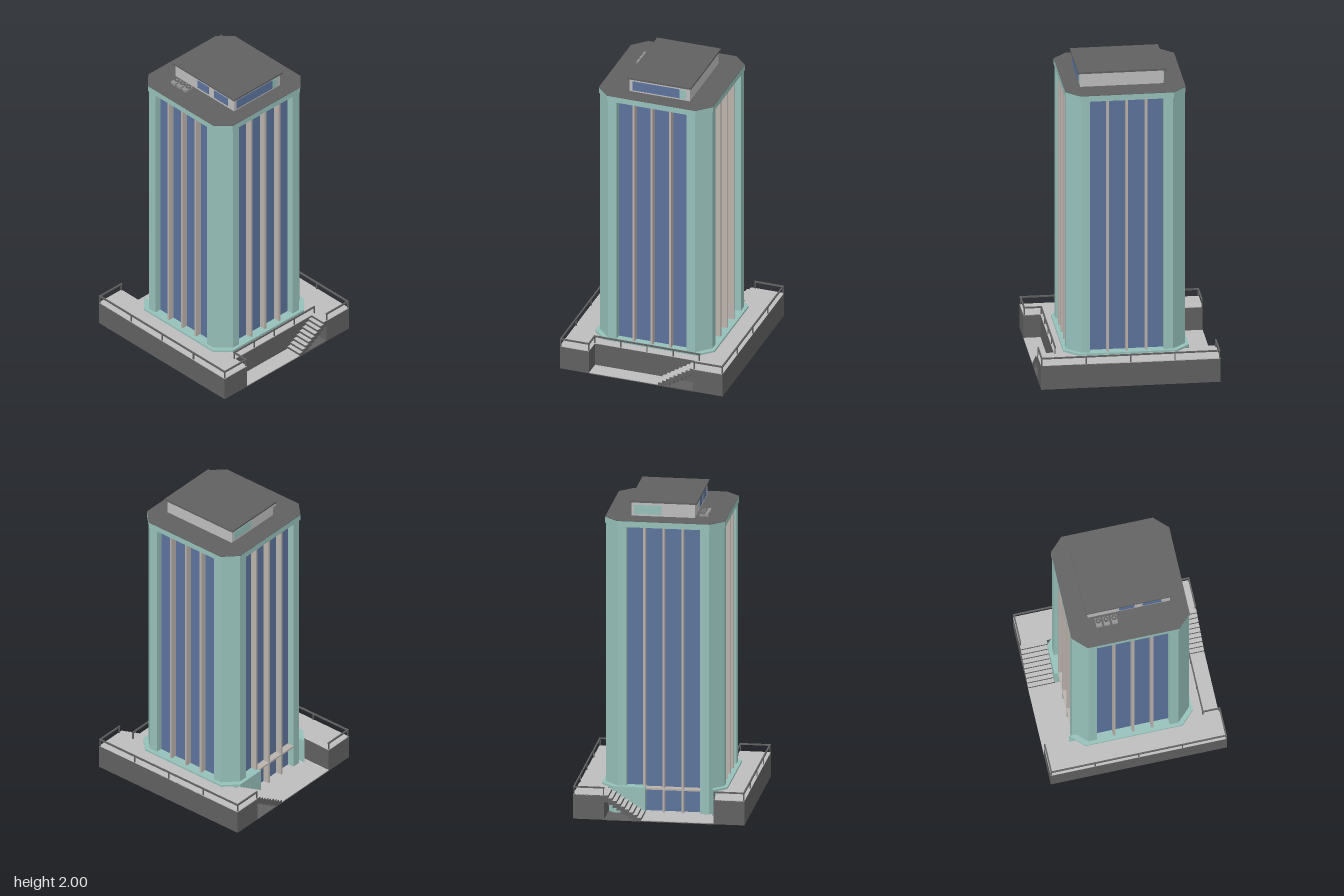
import * as THREE from 'three';

const material = (name, color, side = THREE.FrontSide) => {
  const m = new THREE.MeshStandardMaterial({ color, side });
  m.name = name;
  return m;
};

export function createModel() {
  const root = new THREE.Group();
  root.name = 'officeTower';

  const teal = material('teal cladding', 0x96c0ba);
  const blue = material('blue glass', 0x5c739c, THREE.DoubleSide);
  const dark = material('dark concrete', 0x606060);
  const light = material('light paving', 0xbdbdbd);
  const stone = material('warm grey fins', 0xbab2ac);
  const metal = material('machine grey', 0x929292);

  const group = (name) => {
    const g = new THREE.Group();
    g.name = name;
    root.add(g);
    return g;
  };
  const add = (parent, name, geo, mat) => {
    const m = new THREE.Mesh(geo, mat);
    m.name = name;
    parent.add(m);
    return m;
  };
  // Box given by its bounds
  const box = (parent, name, mat, x0, x1, y0, y1, z0, z1) =>
    add(parent, name, new THREE.BoxGeometry(x1 - x0, y1 - y0, z1 - z0), mat)
      .position.set((x0 + x1) / 2, (y0 + y1) / 2, (z0 + z1) / 2);
  // Vertical prism from a plan outline of [x, z] points
  const prism = (parent, name, mat, pts, y0, y1) => {
    const shape = new THREE.Shape(pts.map(([x, z]) => new THREE.Vector2(x, -z)));
    const geo = new THREE.ExtrudeGeometry(shape, { depth: y1 - y0, bevelEnabled: false });
    geo.rotateX(-Math.PI / 2).translate(0, y0, 0);
    return add(parent, name, geo, mat);
  };

  // Tower: glass core, crossing fins, chamfered corners
  const tower = group('tower');
  const G = 0.325;
  for (let i = 0; i < 4; i++) {
    const wall = add(tower, 'glassWall', new THREE.PlaneGeometry(2 * G, 1.87).translate(0, 0.935, G), blue);
    wall.rotation.y = i * Math.PI / 2;
    const corner = prism(tower, 'corner', teal, [
      [0.23, 0.37], [0.285, 0.37], [0.37, 0.285], [0.37, 0.23],
      [0.315, 0.23], [0.315, 0.315], [0.23, 0.315]], 0.025, 1.865);
    corner.rotation.y = i * Math.PI / 2;
  }
  for (const p of [-0.12, 0, 0.12]) {
    box(tower, 'fin', stone, p - 0.007, p + 0.007, 0, 1.865, -0.367, 0.367);
    box(tower, 'fin', stone, -0.367, 0.367, 0, 1.865, p - 0.007, p + 0.007);
  }
  for (const p of [-0.235, 0.235]) {
    box(tower, 'innerPartition', teal, p - 0.004, p + 0.004, 0.025, 1.865, -0.32, 0.32);
    box(tower, 'innerPartition', teal, -0.32, 0.32, 0.025, 1.865, p - 0.004, p + 0.004);
  }
  const octagon = (r, c) => [[c, r], [r, c], [r, -c], [c, -r], [-c, -r], [-r, -c], [-r, c], [-c, r]];
  prism(tower, 'crown', teal, octagon(0.375, 0.29), 1.86, 1.897);
  prism(tower, 'roof', dark, octagon(0.375, 0.29), 1.897, 1.9);

  // Plinth ring, open at the rear entrance
  prism(tower, 'plinth', teal, [
    [0.11, -0.393], [0.308, -0.393], [0.392, -0.309], [0.392, 0.306], [0.308, 0.39],
    [-0.308, 0.39], [-0.392, 0.306], [-0.392, -0.309], [-0.308, -0.393], [-0.308, -0.328],
    [-0.328, -0.328], [-0.328, 0.328], [0.328, 0.328], [0.328, -0.328], [0.11, -0.328]], 0.025, 0.197);
  box(tower, 'entranceLintel', stone, -0.23, 0.11, 0.178, 0.19, -0.37, -0.325);

  // Terrace: thin deck over hollow walls
  const terrace = group('terrace');
  const X = 0.535, ZF = 0.556, ZB = -0.56, N = 0.342, ZN = 0.45, B = 0.027, T = 0.185, W = 0.01;
  const decks = [[-X, -N, ZB, ZF], [N, X, ZB, ZF], [-N, N, 0.36, ZN]];
  for (const [x0, x1, z0, z1] of decks) {
    box(terrace, 'deck', light, x0, x1, T - 0.005, T, z0, z1);
    box(terrace, 'deckUnderside', dark, x0 + 0.002, x1 - 0.002, T - 0.012, T - 0.005, z0 + 0.002, z1 - 0.002);
  }
  const H = T - 0.001;
  for (const s of [-1, 1]) {
    const outer = s * X, inner = s * N;
    const span = (a, b) => [Math.min(a, b), Math.max(a, b)];
    box(terrace, 'sideWall', dark, ...span(outer, outer - s * W), B, H, ZB, ZF);
    box(terrace, 'frontWall', dark, ...span(outer, inner), B, H, ZF - W, ZF);
    box(terrace, 'rearWall', dark, ...span(outer, inner), B, H, ZB, ZB + W);
    box(terrace, 'frontRecessWall', dark, ...span(inner, inner + s * W), B, H, ZN - W, ZF);
    box(terrace, 'rearRecessWall', dark, ...span(inner, inner + s * W), B, H, ZB, -0.34);
  }
  box(terrace, 'recessBackWall', dark, -N, N, B, H, ZN - W, ZN);

  // Lower landings and the stairs rising from them
  const S = 0.11, steps = 9, run = (N - S) / steps, L = 0.034, rise = (T - L) / steps;
  for (const [z0, z1] of [[ZN, ZF], [ZB, -0.328]]) {
    box(terrace, 'landing', light, -N, S, L - 0.004, L, z0, z1);
    box(terrace, 'landingBase', dark, -N, N, B - 0.002, L - 0.004, z0, z1);
  }
  for (const [z0, z1] of [[ZN, ZF], [ZB, -0.39]]) {
    for (let i = 0; i < steps; i++) {
      const x0 = S + i * run, y = L + (i + 1) * rise;
      box(terrace, 'step', dark, x0, x0 + run, Math.max(B, y - 0.045), y - 0.002, z0, z1);
      box(terrace, 'tread', light, x0, x0 + run, y - 0.002, y, z0, z1);
    }
  }
  // Solid cheek under the front flight
  prism(terrace, 'stairCheek', dark, [[S, ZF], [N, ZF], [N, ZF - 0.006], [S, ZF - 0.006]], B, L);

  // Railings
  const railing = group('railing');
  const R = 0.236, t = 0.009;
  const rail = (x0, z0, x1, z1, n) => {
    box(railing, 'topRail', dark, Math.min(x0, x1) - t / 2, Math.max(x0, x1) + t / 2, R - 0.009, R,
      Math.min(z0, z1) - t / 2, Math.max(z0, z1) + t / 2);
    for (let i = 0; i <= n; i++) {
      const x = x0 + (x1 - x0) * i / n, z = z0 + (z1 - z0) * i / n;
      box(railing, 'post', dark, x - 0.0035, x + 0.0035, T - 0.005, R - 0.005, z - 0.0035, z + 0.0035);
    }
  };
  const e = t / 2;
  for (const s of [-1, 1]) {
    rail(s * (X - e), ZB + e, s * (X - e), ZF - e, 4);
    rail(s * (X - e), ZF - e, s * (N + e), ZF - e, 1);
    rail(s * (X - e), ZB + e, s * (N + e), ZB + e, 1);
  }
  rail(-N - e, ZF - e, -N - e, ZN - e, 1);
  rail(-N - e, ZN - e, N, ZN - e, 4);

  // Rooftop penthouse
  const pent = group('penthouse');
  box(pent, 'penthouseWalls', light, -0.18, 0.217, 1.9, 1.99, -0.247, 0.273);
  box(pent, 'penthouseRoof', dark, -0.192, 0.228, 1.988, 2, -0.262, 0.286);
  box(pent, 'frontWindow', blue, -0.16, 0.15, 1.91, 1.972, 0.27, 0.276);
  box(pent, 'frontPanel', teal, 0.15, 0.192, 1.91, 1.972, 0.27, 0.276);
  box(pent, 'rearPanel', teal, 0.03, 0.2, 1.912, 1.97, -0.25, -0.244);
  box(pent, 'sideWindow', blue, -0.183, -0.177, 1.915, 1.97, -0.05, 0.05);
  box(pent, 'sideWindow', blue, -0.183, -0.177, 1.915, 1.97, 0.1, 0.22);

  // Air handling units with round fans
  for (const z of [-0.19, -0.14, -0.09]) {
    box(pent, 'airUnit', metal, -0.258, -0.202, 1.9, 1.917, z - 0.018, z + 0.018);
    add(pent, 'fan', new THREE.CylinderGeometry(0.017, 0.017, 0.004, 16), dark).position.set(-0.221, 1.918, z);
    add(pent, 'fanHub', new THREE.CylinderGeometry(0.006, 0.006, 0.003, 10), metal).position.set(-0.221, 1.92, z);
  }
  return root;
}
